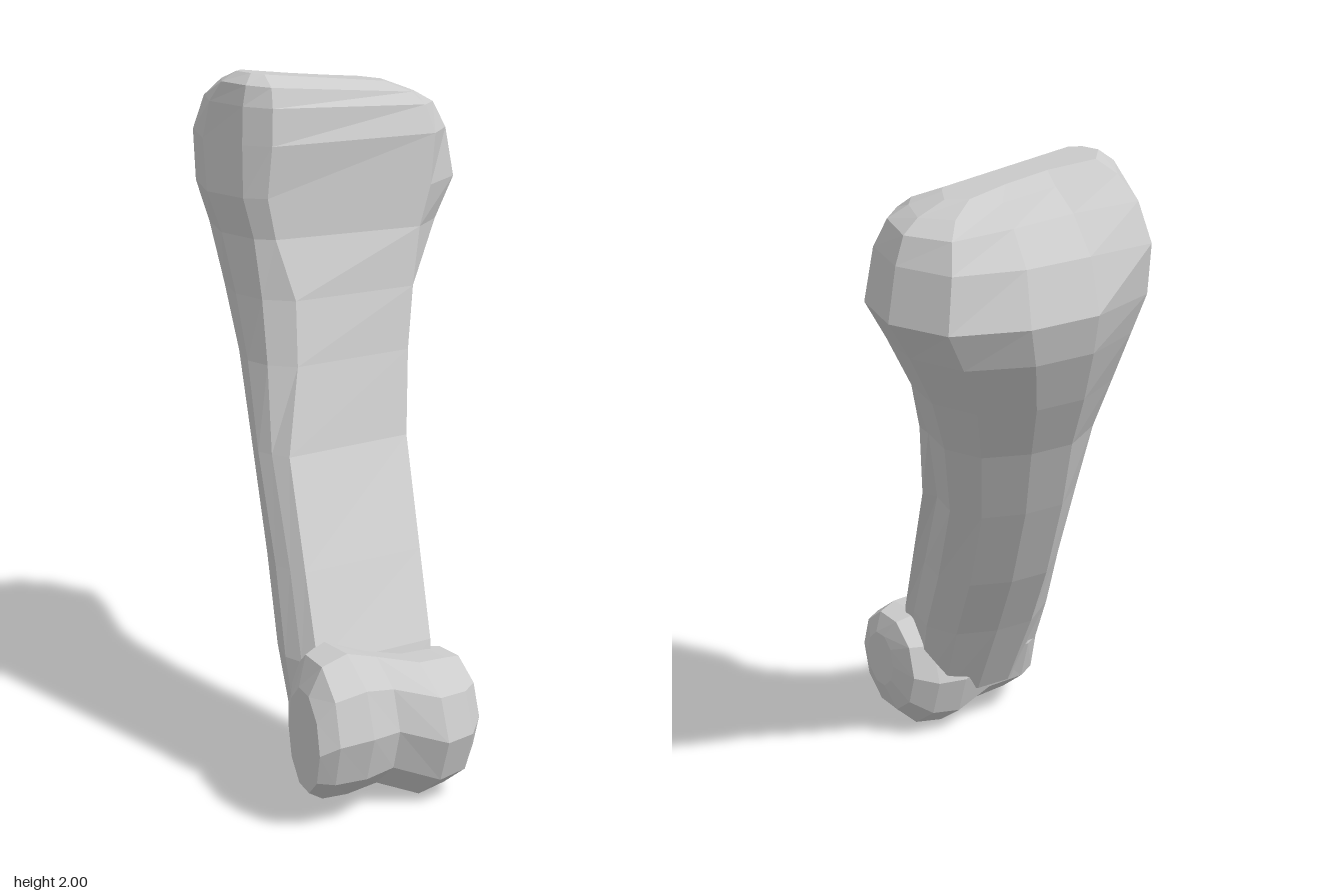
import * as THREE from 'three';

// Skin a list of closed rings (counter-clockwise seen from the last ring) and cap both ends.
function loft(rings) {
  const pos = [];
  const tri = (...v) => v.forEach((p) => pos.push(p.x, p.y, p.z));
  const n = rings[0].length;
  const mid = (r) => r.reduce((s, p) => s.add(p), new THREE.Vector3()).divideScalar(n);
  const first = rings[0], last = rings[rings.length - 1];
  const c0 = mid(first), c1 = mid(last);
  for (let i = 0; i < n; i++) {
    const j = (i + 1) % n;
    for (let k = 0; k + 1 < rings.length; k++) {
      const a = rings[k], b = rings[k + 1];
      tri(a[i], a[j], b[j]);
      tri(a[i], b[j], b[i]);
    }
    tri(c0, first[j], first[i]);
    tri(c1, last[i], last[j]);
  }
  const g = new THREE.BufferGeometry();
  g.setAttribute('position', new THREE.Float32BufferAttribute(pos, 3));
  g.computeVertexNormals();
  return g;
}

// Horizontal D-shaped section: flat towards +x, rounded towards -x.
// The flat side runs from its back corner (x1, cb) to its front corner (xf, cf).
// round shifts the front towards +x, tilt lowers the back, dish hollows the -x side.
function shaftRing([y, x0, x1, z0, z1, cb, xf, cf, round, tilt, dish]) {
  const zm = (z0 + z1) / 2, h = (z1 - z0) / 2;
  const outline = [[0.85, -0.87], [0.5, -1], [0.18, -0.82], [0.02 + dish, -0.3], [dish, 0.25],
    [0.12 + round, 0.8], [0.45 + round, 1], [0.74 + round * 0.4, 0.95]];
  const pts = [[xf, cf], [x1, cb], ...outline.map(([u, w]) => [x0 + u * (x1 - x0), zm + w * h])];
  return pts.map(([x, z]) => new THREE.Vector3(x, y + tilt * (z - z1), z));
}

// Upright oval section, slanted in depth across x.
function condyleRing([z, cx, cy, rx, ry, slant]) {
  return Array.from({ length: 10 }, (_, i) => {
    const a = (i / 10) * Math.PI * 2;
    const x = Math.cos(a) * rx;
    return new THREE.Vector3(cx + x, cy + Math.sin(a) * ry, z + slant * x);
  });
}

export function createModel() {
  const material = new THREE.MeshStandardMaterial({ color: 0xcccccc, flatShading: true });
  const group = new THREE.Group();
  group.name = 'bone';
  const add = (name, geometry) => {
    const mesh = new THREE.Mesh(geometry, material);
    mesh.name = name;
    group.add(mesh);
  };

  // Leaning shaft that swells into the large upper head with its shallow dished socket:
  // y, x0, x1, z0, z1, cb, xf, cf, round, tilt, dish
  add('shaftAndHead', loft([
    [0.14, 0.21, 0.44, 0.03, 0.44, 0.06, 0.44, 0.4, 0.1, 0, 0],
    [0.42, 0.045, 0.36, -0.03, 0.42, 0.0, 0.35, 0.39, 0.15, 0, 0],
    [0.65, -0.095, 0.23, -0.08, 0.37, -0.06, 0.22, 0.34, 0.2, 0, 0],
    [0.94, -0.245, 0.06, -0.15, 0.315, -0.14, 0.06, 0.28, 0.2, 0, 0],
    [1.18, -0.36, 0.0, -0.23, 0.27, -0.19, -0.01, 0.2, 0.1, 0, 0],
    [1.36, -0.47, -0.03, -0.32, 0.25, -0.23, -0.06, 0.17, 0.05, 0, 0],
    [1.53, -0.56, -0.05, -0.43, 0.25, -0.27, -0.13, 0.19, 0.02, 0, 0],
    [1.65, -0.595, -0.05, -0.51, 0.28, -0.31, -0.14, 0.21, 0, 0, 0],
    [1.8, -0.56, -0.055, -0.475, 0.27, -0.33, -0.13, 0.2, -0.1, 0, 0.03],
    [1.91, -0.5, -0.09, -0.44, 0.26, -0.32, -0.14, 0.19, -0.11, 0.05, 0.1],
    [1.97, -0.42, -0.13, -0.38, 0.245, -0.3, -0.16, 0.18, -0.1, 0.1, 0.2],
    [2.0, -0.35, -0.19, -0.29, 0.21, -0.24, -0.21, 0.17, -0.1, 0.12, 0.25],
  ].map(shaftRing)));

  // Two-lobed lower joint, waisted in the middle: z, cx, cy, rx, ry, slant
  add('lowerJoint', loft([
    [-0.07, 0.4, 0.24, 0.07, 0.09, 0],
    [-0.045, 0.39, 0.23, 0.15, 0.16, 0.05],
    [0.02, 0.395, 0.205, 0.19, 0.2, 0],
    [0.11, 0.39, 0.2, 0.2, 0.21, 0],
    [0.23, 0.36, 0.24, 0.16, 0.2, 0],
    [0.35, 0.375, 0.265, 0.2, 0.22, 0.05],
    [0.43, 0.385, 0.26, 0.175, 0.205, 0.2],
    [0.475, 0.4, 0.235, 0.125, 0.15, 0.28],
  ].map(condyleRing)));

  return group;
}
